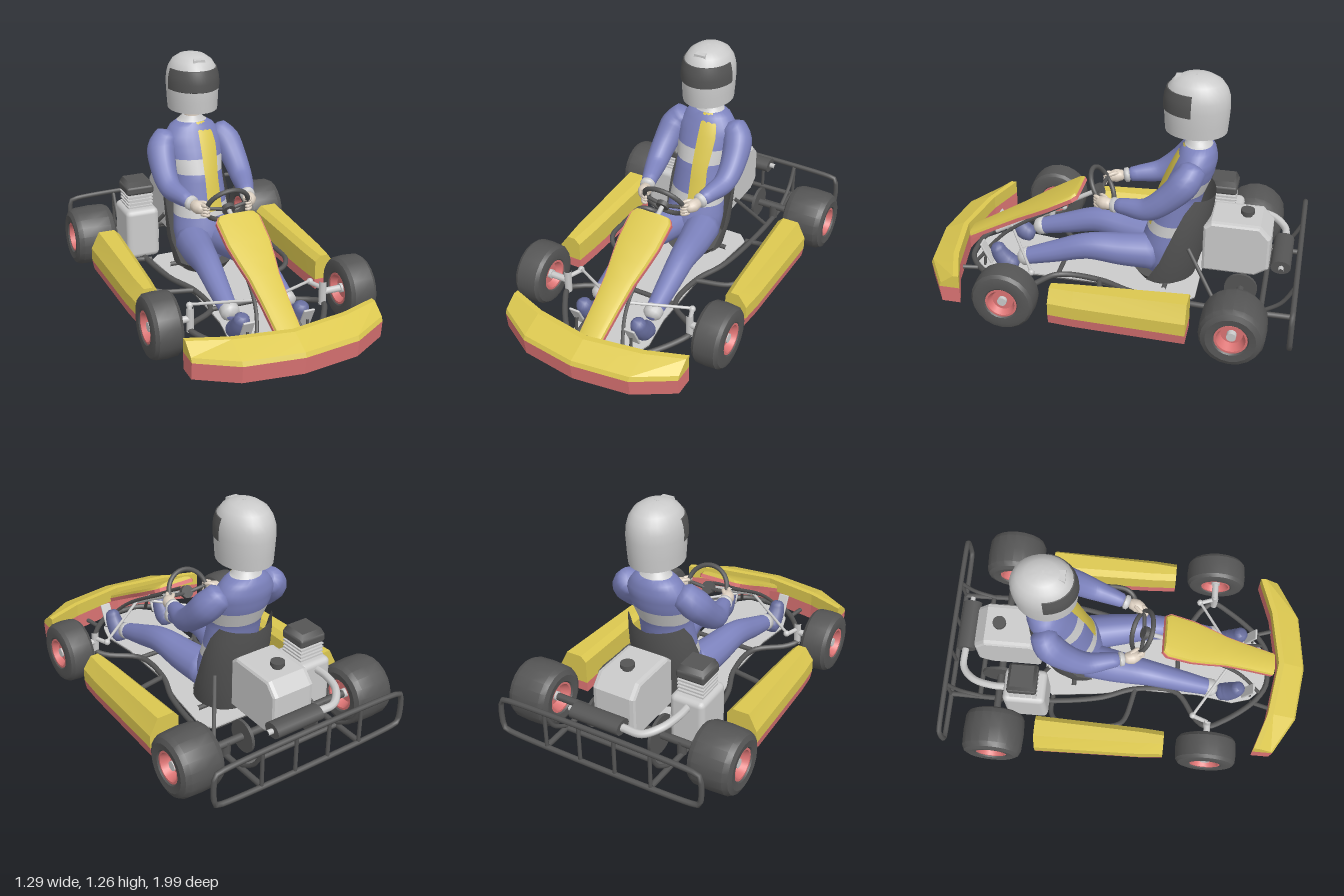
import * as THREE from 'three';
import { toCreasedNormals } from 'three/addons/utils/BufferGeometryUtils.js';
import { RoundedBoxGeometry } from 'three/addons/geometries/RoundedBoxGeometry.js';

const mat = (color, side = THREE.FrontSide) => new THREE.MeshStandardMaterial({ color, side });
const GREY = mat(0xcccccc), DARK = mat(0x555555), BLUE = mat(0x7c82bd), YELLOW = mat(0xdcc850);
const RED = mat(0xdc7474), SKIN = mat(0xdccfc0), NAVY = mat(0x686e9e);
const GREY2 = mat(0xcccccc, THREE.DoubleSide), DARK2 = mat(0x555555, THREE.DoubleSide);
const YELLOW2 = mat(0xdcc850, THREE.DoubleSide);
const V = (p) => new THREE.Vector3(...p);
const SIDES = [1, -1];

// Skin over a row of rings; a closed body is capped and turned outward
function loft(rings, crease = 0.6, open = false) {
  const pos = [], n = rings[0].length;
  const tri = (...ps) => ps.forEach((p) => pos.push(...p));
  for (let i = 0; i < rings.length - 1; i++) {
    for (let j = 0; j < (open ? n - 1 : n); j++) {
      const k = (j + 1) % n, a = rings[i], b = rings[i + 1];
      tri(a[j], a[k], b[k]);
      tri(a[j], b[k], b[j]);
    }
  }
  if (!open) {
    const last = rings[rings.length - 1];
    for (let j = 1; j < n - 1; j++) {
      tri(rings[0][0], rings[0][j + 1], rings[0][j]);
      tri(last[0], last[j], last[j + 1]);
    }
  }
  let vol = 0;
  for (let i = 0; i < pos.length; i += 9) {
    const [a, b, c] = [0, 3, 6].map((o) => V(pos.slice(i + o, i + o + 3)));
    vol += a.dot(b.cross(c));
  }
  if (!open && vol < 0) {
    for (let i = 0; i < pos.length; i += 9) {
      for (let k = 0; k < 3; k++) [pos[i + k], pos[i + 3 + k]] = [pos[i + 3 + k], pos[i + k]];
    }
  }
  const g = new THREE.BufferGeometry();
  g.setAttribute('position', new THREE.Float32BufferAttribute(pos, 3));
  return toCreasedNormals(g, crease);
}

// Row of numbers read from a table keyed by its first column
function sample(table, t) {
  let i = 0;
  while (i < table.length - 2 && t > table[i + 1][0]) i++;
  const f = (t - table[i][0]) / (table[i + 1][0] - table[i][0]);
  return table[i].map((v, k) => v + (table[i + 1][k] - v) * f);
}

// Rounded limb with a changing radius
function limb(pts, radii, steps = 16, n = 14) {
  const curve = new THREE.CatmullRomCurve3(pts.map(V));
  const { normals, binormals } = curve.computeFrenetFrames(steps);
  const table = radii.map((r, i) => [i / (radii.length - 1), r]);
  const rings = [];
  for (let i = 0; i <= steps; i++) {
    const c = curve.getPointAt(i / steps);
    const end = i === 0 || i === steps ? 0.6 : 1;
    const r = sample(table, i / steps)[1] * end;
    rings.push(Array.from({ length: n }, (_, j) => {
      const a = (j / n) * Math.PI * 2;
      return c.clone().addScaledVector(normals[i], r * Math.cos(a)).addScaledVector(binormals[i], r * Math.sin(a)).toArray();
    }));
  }
  return loft(rings, 1.1);
}

export function createModel() {
  const root = new THREE.Group();
  const add = (name, geo, material, p = [0, 0, 0], rot = [0, 0, 0], parent = root) => {
    const m = new THREE.Mesh(geo, material);
    m.name = name;
    m.position.set(...p);
    m.rotation.set(...rot);
    parent.add(m);
    return m;
  };
  const rod = (name, pts, r, material = DARK, closed = false) => {
    const c = new THREE.CatmullRomCurve3(pts.map(V), closed, 'centripetal');
    return add(name, new THREE.TubeGeometry(c, pts.length > 2 ? pts.length * 6 : 1, r, 8, closed), material);
  };
  const lathe = (pts, n = 24, start = 0, len = Math.PI * 2, crease = 0.5) =>
    toCreasedNormals(new THREE.LatheGeometry(pts.map((p) => new THREE.Vector2(...p)), n, start, len), crease);
  const outline = (pts) => new THREE.Shape(pts.map((p) => new THREE.Vector2(...p)));

  // Wheels
  for (const s of SIDES) for (const [name, x, z, h] of [['frontWheel', 0.523, 0.463, 0.08], ['rearWheel', 0.525, -0.705, 0.12]]) {
    const wheel = new THREE.Group();
    wheel.name = name;
    wheel.position.set(s * x, 0.17, z);
    wheel.rotation.z = -s * Math.PI / 2;
    root.add(wheel);
    const tyre = [[0.08, -h * 0.85], [0.09, -h * 0.96], [0.125, -h], [0.15, -h * 0.9], [0.163, -h * 0.68], [0.167, 0],
      [0.163, h * 0.68], [0.15, h * 0.9], [0.125, h], [0.09, h * 0.96], [0.08, h * 0.85], [0.08, -h * 0.85]];
    add('tyre', lathe(tyre, 20), DARK, undefined, undefined, wheel);
    add('rim', lathe([[0, -h * 0.5], [0.055, -h * 0.5], [0.072, -h * 0.9], [0.083, -h * 0.9], [0.083, h * 0.9],
      [0.072, h * 0.9], [0.055, h * 0.5], [0, h * 0.5]]), RED, undefined, undefined, wheel);
    add('hub', new THREE.CylinderGeometry(0.024, 0.024, h * 1.5, 14), GREY, undefined, undefined, wheel);
  }

  // Front bumper: stations of x, back z, front z
  const stations = [[-0.5, 0.72, 0.83], [-0.3, 0.79, 0.95], [0, 0.84, 0.99], [0.3, 0.79, 0.95], [0.5, 0.72, 0.83]];
  add('frontBumperLower', loft(stations.map(([x, b, f]) => [[x, 0.065, b], [x, 0.065, f - 0.01], [x, 0.155, f], [x, 0.155, b]]), 0.1), RED);
  add('frontBumperUpper', loft(stations.map(([x, b, f]) => [[x, 0.155, b], [x, 0.155, f], [x, 0.178, f - 0.01], [x, 0.228, b + 0.03], [x, 0.228, b]]), 0.1), YELLOW);

  // Side pods: stations of z, inner x, outer x, top y
  const pods = [[-0.475, 0.424, 0.588, 0.275], [0.1, 0.438, 0.575, 0.255], [0.23, 0.446, 0.565, 0.25]];
  for (const s of SIDES) {
    add('sidePodLower', loft(pods.map(([z, i, o]) => [[s * i, 0.06, z], [s * (o - 0.01), 0.06, z], [s * o, 0.115, z], [s * i, 0.115, z]]), 0.2), RED);
    add('sidePodUpper', loft(pods.map(([z, i, o, t]) => [[s * i, 0.115, z], [s * o, 0.115, z], [s * o, 0.185, z],
      [s * (o - 0.045), t, z], [s * (i + 0.03), t, z], [s * i, t - 0.03, z]]), 0.2), YELLOW);
  }

  // Steering fairing: length fraction, half width
  const fairing = [[0, 0.1], [0.04, 0.118], [0.25, 0.115], [0.4, 0.1], [0.55, 0.082], [0.75, 0.072], [1, 0.064]];
  const fairingRing = (flat) => fairing.map(([t, w]) => flat.map(([u, h]) =>
    [u * w, 0.55 - 0.36 * t + h * 0.87, 0.19 + 0.62 * t + h * 0.48]));
  add('fairingTop', loft(fairingRing([[-1, 0], [-0.93, 0.013], [-0.6, 0.021], [0.6, 0.021], [0.93, 0.013], [1, 0]])), YELLOW);
  add('fairingUnderside', loft(fairingRing([[-1.04, -0.02], [-1.04, 0], [1.04, 0], [1.04, -0.02]]), 0.3), RED);

  // Floor tray with skid plate
  const half = [[0.1, 0.78], [0.18, 0.7], [0.21, 0.6], [0.18, 0.4], [0.18, 0.05], [0.22, -0.15], [0.25, -0.42], [0.2, -0.47]];
  const floorShape = outline([...half, ...half.map(([x, z]) => [-x, z]).reverse()]);
  const plate = new THREE.ExtrudeGeometry(floorShape, { depth: 0.008, bevelEnabled: false }).rotateX(Math.PI / 2);
  add('floorTray', plate, GREY, [0, 0.078, 0]);
  add('skidPlate', plate, DARK, [0, 0.07, 0]);

  // Chassis tubes, steering and pedals on both sides
  for (const s of SIDES) {
    const side = (name, pts, r, m) => rod(name, pts.map(([x, y, z]) => [s * x, y, z]), r, m);
    side('mainRail', [[0.3, 0.1, -0.98], [0.3, 0.1, -0.5], [0.25, 0.09, -0.15], [0.18, 0.09, 0.05], [0.18, 0.09, 0.28], [0.33, 0.1, 0.4],
      [0.37, 0.11, 0.46], [0.33, 0.1, 0.55], [0.2, 0.09, 0.72], [0.1, 0.09, 0.785], [0, 0.09, 0.795]], 0.015);
    side('sideHoop', [[0.26, 0.09, -0.41], [0.36, 0.1, -0.41], [0.41, 0.12, -0.37], [0.42, 0.12, -0.2], [0.41, 0.12, -0.05], [0.37, 0.1, 0], [0.18, 0.09, 0.05]], 0.014);
    side('podBracket', [[0.41, 0.12, -0.2], [0.47, 0.12, -0.2]], 0.012);
    side('bumperBracket', [[0.2, 0.085, 0.7], [0.24, 0.1, 0.84]], 0.012);
    side('axleCarrier', [[0.3, 0.1, -0.7], [0.3, 0.18, -0.7]], 0.025);
    side('bumperStrut', [[0.3, 0.1, -0.8], [0.3, 0.18, -0.92], [0.3, 0.29, -0.985]], 0.011);
    side('seatStay', [[0.3, 0.1, -0.6], [0.17, 0.35, -0.42]], 0.011);
    side('stubAxle', [[0.36, 0.17, 0.463], [0.5, 0.17, 0.463]], 0.018, GREY);
    side('kingpin', [[0.365, 0.1, 0.463], [0.365, 0.23, 0.463]], 0.02, GREY);
    side('steeringArm', [[0.365, 0.19, 0.463], [0.335, 0.19, 0.38]], 0.012, GREY);
    side('tieRod', [[0.335, 0.2, 0.38], [0.02, 0.26, 0.58]], 0.008, GREY);
    add('ballJoint', new THREE.SphereGeometry(0.018, 12, 8), GREY, [s * 0.335, 0.195, 0.38]);
    add('pedal', new RoundedBoxGeometry(0.06, 0.13, 0.012, 2, 0.005), GREY, [s * 0.16, 0.17, 0.68], [0.45, 0, 0]);
    side('pedalArm', [[0.16, 0.08, 0.7], [0.16, 0.17, 0.69]], 0.008);
  }
  for (const z of [0.28, -0.3]) rod('crossTube', [[-0.19, 0.09, z], [0.19, 0.09, z]], 0.013);
  rod('rearCrossTube', [[-0.3, 0.1, -0.82], [0.3, 0.1, -0.82]], 0.014);

  // Rear bumper hoop
  const hoop = [[0.52, 0.29], [0.56, 0.28], [0.57, 0.25], [0.57, 0.14], [0.56, 0.11], [0.52, 0.1]];
  rod('rearBumper', [...hoop, ...hoop.map(([x, y]) => [-x, y]).reverse()].map(([x, y]) => [x, y, -0.985]), 0.014, DARK, true);
  for (const x of [-0.3, -0.1, 0.1, 0.3]) rod('rearBumperPost', [[x, 0.1, -0.985], [x, 0.29, -0.985]], 0.01);

  // Rear axle, sprocket and brake disc
  rod('rearAxle', [[-0.5, 0.17, -0.705], [0.5, 0.17, -0.705]], 0.02);
  for (const [name, x, r] of [['sprocket', -0.18, 0.105], ['brakeDisc', 0.2, 0.085]]) {
    add(name, new THREE.CylinderGeometry(r, r, 0.016, 24), DARK, [x, 0.17, -0.705], [0, 0, Math.PI / 2]);
  }

  // Fuel tank
  const tank = new THREE.ExtrudeGeometry(outline([[-0.5, 0.21], [-0.5, 0.45], [-0.53, 0.475], [-0.77, 0.475], [-0.82, 0.42], [-0.82, 0.25], [-0.76, 0.21]]),
    { depth: 0.19, bevelSize: 0.015, bevelThickness: 0.025, bevelSegments: 2 }).rotateY(-Math.PI / 2);
  add('fuelTank', tank, GREY, [0.095, 0, 0]);
  add('tankNeck', new THREE.CylinderGeometry(0.026, 0.026, 0.03, 16), DARK, [0, 0.5, -0.7]);
  add('tankCap', new THREE.CylinderGeometry(0.036, 0.036, 0.02, 18), DARK, [0, 0.515, -0.7]);

  // Engine with finned cylinder and exhaust
  add('crankcase', new RoundedBoxGeometry(0.19, 0.29, 0.23, 2, 0.03), GREY, [-0.295, 0.24, -0.54]);
  add('cylinder', new THREE.BoxGeometry(0.115, 0.12, 0.12), GREY, [-0.295, 0.41, -0.54]);
  for (let i = 0; i < 4; i++) add('coolingFin', new THREE.BoxGeometry(0.145, 0.009, 0.145), GREY, [-0.295, 0.392 + i * 0.02, -0.54]);
  add('cylinderHead', new RoundedBoxGeometry(0.158, 0.05, 0.158, 2, 0.015), DARK, [-0.295, 0.49, -0.54]);
  add('headCover', new THREE.CylinderGeometry(0.085, 0.104, 0.03, 4).rotateY(Math.PI / 4), DARK, [-0.295, 0.525, -0.54]);
  add('clutchCover', new THREE.CylinderGeometry(0.07, 0.08, 0.025, 20), GREY, [-0.195, 0.2, -0.56], [0, 0, -Math.PI / 2]);
  rod('exhaustPipe', [[-0.3, 0.34, -0.63], [-0.3, 0.34, -0.72], [-0.27, 0.33, -0.83], [-0.2, 0.31, -0.895], [-0.09, 0.31, -0.9]], 0.02, GREY);
  const muffler = new THREE.CylinderGeometry(0.052, 0.052, 0.275, 20).rotateZ(Math.PI / 2).scale(1, 0.72, 1);
  add('muffler', muffler, DARK, [0.042, 0.31, -0.897]);
  rod('tailPipe', [[0.17, 0.31, -0.9], [0.21, 0.31, -0.9]], 0.014, GREY);

  // Seat shell: y, half width, centre z, half depth, wrap angle
  const seat = [[0.085, 0.11, -0.27, 0.1, 2], [0.11, 0.165, -0.27, 0.17, 2], [0.25, 0.19, -0.31, 0.165, 1.8], [0.45, 0.19, -0.36, 0.15, 1.65], [0.53, 0.18, -0.385, 0.14, 1.5], [0.6, 0.17, -0.4, 0.13, 1.25]];
  add('seatShell', loft(seat.map(([y, w, zc, d, a]) => Array.from({ length: 25 }, (_, j) => {
    const p = (j / 12 - 1) * a;
    return [w * Math.sin(p), y + (y > 0.5 ? 0.03 * Math.abs(j / 12 - 1) : 0), zc - d * Math.cos(p)];
  })), 0.8, true), DARK2);
  add('seatBase', new THREE.CylinderGeometry(0.165, 0.13, 0.05, 24), DARK, [0, 0.105, -0.27]);

  // Driver torso: y, half width, centre z, half depth
  const body = [[0.13, 0.11, -0.27, 0.1], [0.2, 0.15, -0.27, 0.12], [0.3, 0.165, -0.28, 0.13], [0.45, 0.15, -0.315, 0.12], [0.6, 0.14, -0.35, 0.12],
    [0.72, 0.16, -0.395, 0.12], [0.8, 0.165, -0.42, 0.11], [0.86, 0.125, -0.43, 0.09], [0.89, 0.075, -0.43, 0.068], [0.915, 0.05, -0.425, 0.05]];
  const bodyRings = (y0, y1, n, a0, a1, k) => Array.from({ length: 9 }, (_, i) => {
    const [y, w, zc, d] = sample(body, y0 + (y1 - y0) * i / 8);
    return Array.from({ length: n }, (_, j) => {
      const a = a0 + (a1 - a0) * j / (a1 - a0 > 6 ? n : n - 1);
      return [w * k * Math.sin(a), y, zc + d * k * Math.cos(a)];
    });
  });
  for (const [name, y0, y1, m] of [['hips', 0.13, 0.39, BLUE], ['waistBand', 0.39, 0.45, GREY], ['belly', 0.45, 0.62, BLUE],
    ['chestBand', 0.62, 0.7, GREY], ['chest', 0.7, 0.885, BLUE], ['collar', 0.885, 0.915, GREY]]) {
    add(name, loft(bodyRings(y0, y1, 28, 0, Math.PI * 2, 1), 0.9), m);
  }
  add('suitStripe', loft(bodyRings(0.42, 0.885, 8, 0, 0.62, 1.015), 0.9, true), YELLOW2);
  add('neck', new THREE.CylinderGeometry(0.038, 0.045, 0.16, 16), SKIN, [0, 0.95, -0.42]);

  // Helmet and visor
  const helmet = lathe([[0.115, 0.975], [0.122, 0.96], [0.132, 0.96], [0.136, 1.02], [0.14, 1.1], [0.137, 1.15], [0.126, 1.19], [0.105, 1.225], [0.07, 1.25], [0.035, 1.259], [0, 1.261]], 28, 0, Math.PI * 2, 0.8);
  add('helmet', helmet.scale(1, 1, 1.19), GREY2, [0, 0, -0.413]);
  const visor = lathe([[0.136, 1.075], [0.143, 1.08], [0.1435, 1.12], [0.14, 1.155], [0.13, 1.19], [0.115, 1.193]], 24, -1.5, 3, 0.8);
  add('visor', visor.scale(1, 1, 1.19), DARK2, [0, 0, -0.413]);
  add('helmetVent', loft([[-0.41, 0.012, 1.262], [-0.3, 0.038, 1.243]].map(([z, w, y]) => [[-w, 1.21, z], [-w * 0.8, y, z], [w * 0.8, y, z], [w, 1.21, z]]), 0.2), GREY);

  // Arms, hands, legs and shoes
  for (const s of SIDES) {
    const part = (name, pts, radii, m, steps, n) => add(name, limb(pts.map(([x, y, z]) => [s * x, y, z]), radii, steps, n), m);
    part('arm', [[0.13, 0.82, -0.43], [0.185, 0.76, -0.4], [0.21, 0.66, -0.31], [0.208, 0.585, -0.21], [0.18, 0.568, -0.1], [0.16, 0.56, -0.03]], [0.065, 0.08, 0.07, 0.062, 0.05, 0.036], BLUE, 22);
    part('cuff', [[0.165, 0.561, -0.045], [0.155, 0.557, -0.01]], [0.041, 0.038], GREY, 4);
    part('hand', [[0.158, 0.558, -0.015], [0.145, 0.555, 0.03], [0.125, 0.552, 0.07]], [0.026, 0.036, 0.024], SKIN, 8);
    for (let i = 0; i < 4; i++) {
      const y = 0.525 + i * 0.017;
      part('finger', [[0.14, y, 0.055], [0.118, y, 0.085], [0.1, y - 0.004, 0.075]], [0.011, 0.01, 0.008], SKIN, 6, 8);
    }
    part('thumb', [[0.14, 0.575, 0.015], [0.115, 0.58, 0.04], [0.1, 0.575, 0.06]], [0.013, 0.011, 0.009], SKIN, 6, 8);
    part('leg', [[0.075, 0.25, -0.25], [0.11, 0.26, -0.06], [0.135, 0.27, 0.12], [0.148, 0.215, 0.31], [0.158, 0.155, 0.5]], [0.1, 0.088, 0.07, 0.058, 0.042], BLUE, 22);
    part('ankleCuff', [[0.154, 0.18, 0.43], [0.158, 0.155, 0.5]], [0.051, 0.047], GREY, 4);
    part('shoe', [[0.158, 0.1, 0.51], [0.158, 0.115, 0.56], [0.16, 0.165, 0.605], [0.16, 0.225, 0.63]], [0.045, 0.052, 0.046, 0.035], NAVY, 12);
    part('spoke', [[0, 0.54, 0.082], [0.12, 0.56, 0.07]], [0.011, 0.01], DARK, 4, 8);
  }

  // Steering wheel and column
  add('steeringWheel', new THREE.TorusGeometry(0.115, 0.013, 10, 32), DARK, [0, 0.56, 0.07], [0.51, 0, 0]);
  add('steeringHub', new THREE.CylinderGeometry(0.035, 0.035, 0.025, 18), DARK, [0, 0.545, 0.085], [0.51 + Math.PI / 2, 0, 0]);
  rod('steeringColumn', [[0, 0.55, 0.08], [0, 0.2, 0.68]], 0.013, GREY);
  for (const s of SIDES) rod('columnStay', [[s * 0.06, 0.49, 0.22], [s * 0.08, 0.25, 0.6], [s * 0.14, 0.09, 0.75]], 0.01);

  return root;
}
